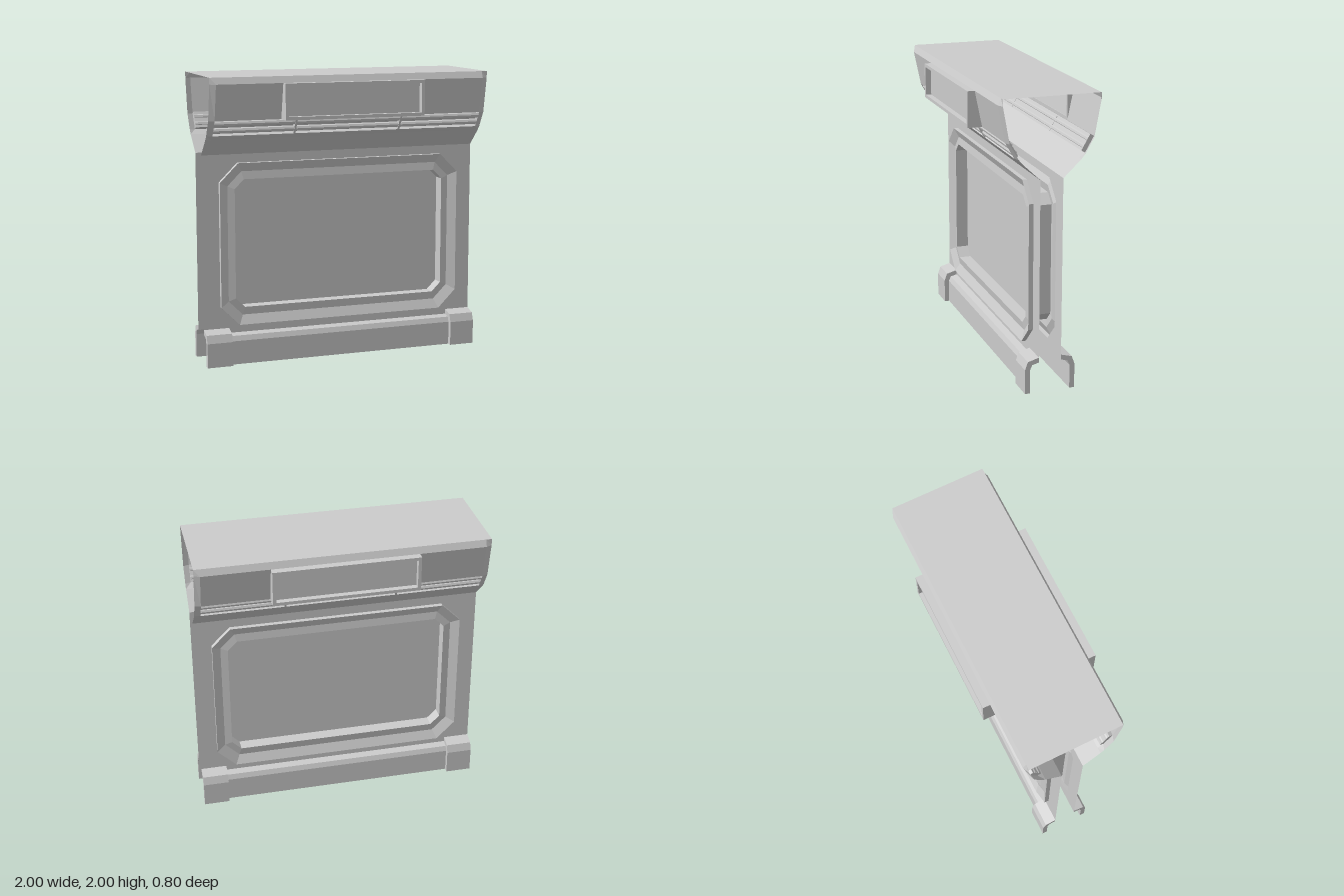
import * as THREE from 'three';

const material = new THREE.MeshStandardMaterial({ color: 0xcccccc, side: THREE.DoubleSide, flatShading: true });
const V = (x, y, z) => new THREE.Vector3(x, y, z);

function add(parent, name, geometry, x = 0, y = 0, z = 0) {
  const mesh = new THREE.Mesh(geometry, material);
  mesh.name = name;
  mesh.position.set(x, y, z);
  parent.add(mesh);
  return mesh;
}

// Skin a row of cross-sections that share the same point count
function loft(sections, closed = false) {
  const pos = [];
  const n = sections[0].length;
  for (let i = 0; i < sections.length - 1; i++) {
    for (let j = 0; j < (closed ? n : n - 1); j++) {
      const k = (j + 1) % n;
      const [a, b, c, d] = [sections[i][j], sections[i][k], sections[i + 1][k], sections[i + 1][j]];
      for (const p of [a, b, c, a, c, d]) pos.push(p.x, p.y, p.z);
    }
  }
  const g = new THREE.BufferGeometry();
  g.setAttribute('position', new THREE.Float32BufferAttribute(pos, 3));
  g.computeVertexNormals();
  return g;
}

// Place a [z, y] profile at a given x
const at = (x, profile) => profile.map(([z, y]) => V(x, y, z));

// Rectangle with cut corners, counter-clockwise
function octagon(x, y0, y1, c, z = 0) {
  return [
    V(-x + c, y0, z), V(x - c, y0, z), V(x, y0 + c, z), V(x, y1 - c, z),
    V(x - c, y1, z), V(-x + c, y1, z), V(-x, y1 - c, z), V(-x, y0 + c, z),
  ];
}

const flat = (pts) => pts.map((p) => new THREE.Vector2(p.x, p.y));
const rect = (x, y0, y1) => [V(-x, y0, 0), V(x, y0, 0), V(x, y1, 0), V(-x, y1, 0)];

const WALL_Z = 0.078;
const OUTER = [0.88, 0.27, 1.4, 0.13];
const MIDDLE = [0.82, 0.335, 1.34, 0.1];
const INNER = [0.77, 0.39, 1.285, 0.065];

function createSide() {
  const side = new THREE.Group();

  // Wall sheet with a cut-out for the panel frame
  const wall = new THREE.Shape(flat(rect(1, 0.21, 1.46)));
  wall.holes.push(new THREE.Path(flat(octagon(...OUTER))));
  add(side, 'wall', new THREE.ShapeGeometry(wall), 0, 0, WALL_Z);

  // Raised frame, groove, lip and recess down to the panel
  add(side, 'panelFrame', loft([
    octagon(...OUTER, WALL_Z), octagon(...OUTER, 0.11), octagon(...MIDDLE, 0.08),
    octagon(...INNER, 0.088), octagon(...INNER, 0),
  ], true));

  // Flared fascia with bevelled ends and a sunken channel
  const end = [[0.33, 2], [0.33, 1.955], [0.285, 1.71], [0.285, 1.71], [0.225, 1.605], [0.225, 1.605], [0.2, 1.575]];
  const plain = [[0.33, 2], [0.35, 1.955], [0.3, 1.71], [0.3, 1.71], [0.24, 1.605], [0.24, 1.605], [0.2, 1.575]];
  const channel = plain.map((p) => p.slice());
  channel[3] = [0.274, 1.724];
  channel[4] = [0.214, 1.62];
  add(side, 'fascia', loft([
    at(-1, end), at(-0.96, plain), at(-0.96, channel),
    at(0.96, channel), at(0.96, plain), at(1, end),
  ]));

  // Rails lying in the channel, with two clips
  for (const t of [0.27, 0.73]) {
    const rail = add(side, 'rail', new THREE.CylinderGeometry(0.019, 0.019, 1.92, 8, 1, true),
      0, 1.717 - 0.105 * t, 0.284 - 0.06 * t);
    rail.rotation.z = Math.PI / 2;
  }
  for (const x of [-0.39, 0.37]) {
    const clip = add(side, 'railClip', new THREE.BoxGeometry(0.014, 0.115, 0.035), x, 1.664, 0.257);
    clip.rotation.x = 0.52;
  }

  // Sloping soffit from fascia to wall
  const soffit = [[0.2, 1.575], [WALL_Z, 1.46]];
  add(side, 'soffit', loft([at(-1, soffit), at(1, soffit)]));

  // Sign box with a sunken face
  const box = new THREE.Shape(flat(rect(0.5, 1.71, 1.955)));
  box.holes.push(new THREE.Path(flat(rect(0.478, 1.732, 1.933))));
  add(side, 'signFrame', new THREE.ExtrudeGeometry(box, { depth: 0.1, bevelEnabled: false }), 0, 0, 0.3);
  add(side, 'signFace', new THREE.PlaneGeometry(0.956, 0.201), 0, 1.8325, 0.36);

  // Skirting between thicker end caps
  const skirt = [[WALL_Z, 0.212], [0.125, 0.2], [0.14, 0.165], [0.14, 0]];
  const cover = [[0.175, 0], [0.175, 0.17], [0.155, 0.225], [WALL_Z, 0.247]];
  add(side, 'skirting', loft([at(-0.82, skirt), at(0.82, skirt)]));
  const capShape = new THREE.Shape([...skirt, ...cover].map(([z, y]) => new THREE.Vector2(-z, y)));
  for (const x of [-1, 0.82]) {
    const cap = add(side, 'skirtingCap',
      new THREE.ExtrudeGeometry(capShape, { depth: 0.18, bevelEnabled: false }), x);
    cap.rotation.y = Math.PI / 2;
  }
  return side;
}

export function createModel() {
  const model = new THREE.Group();
  model.name = 'wallSection';

  // Front and back are the same side turned about
  const front = createSide();
  front.name = 'frontSide';
  const back = createSide();
  back.name = 'backSide';
  back.rotation.y = Math.PI;
  model.add(front, back);

  // Central panel shared by both sides
  add(model, 'panel', new THREE.ShapeGeometry(new THREE.Shape(flat(octagon(...INNER)))));

  // Flat roof
  const roof = new THREE.PlaneGeometry(2, 0.66).rotateX(-Math.PI / 2);
  add(model, 'roof', roof, 0, 2, 0);
  return model;
}
